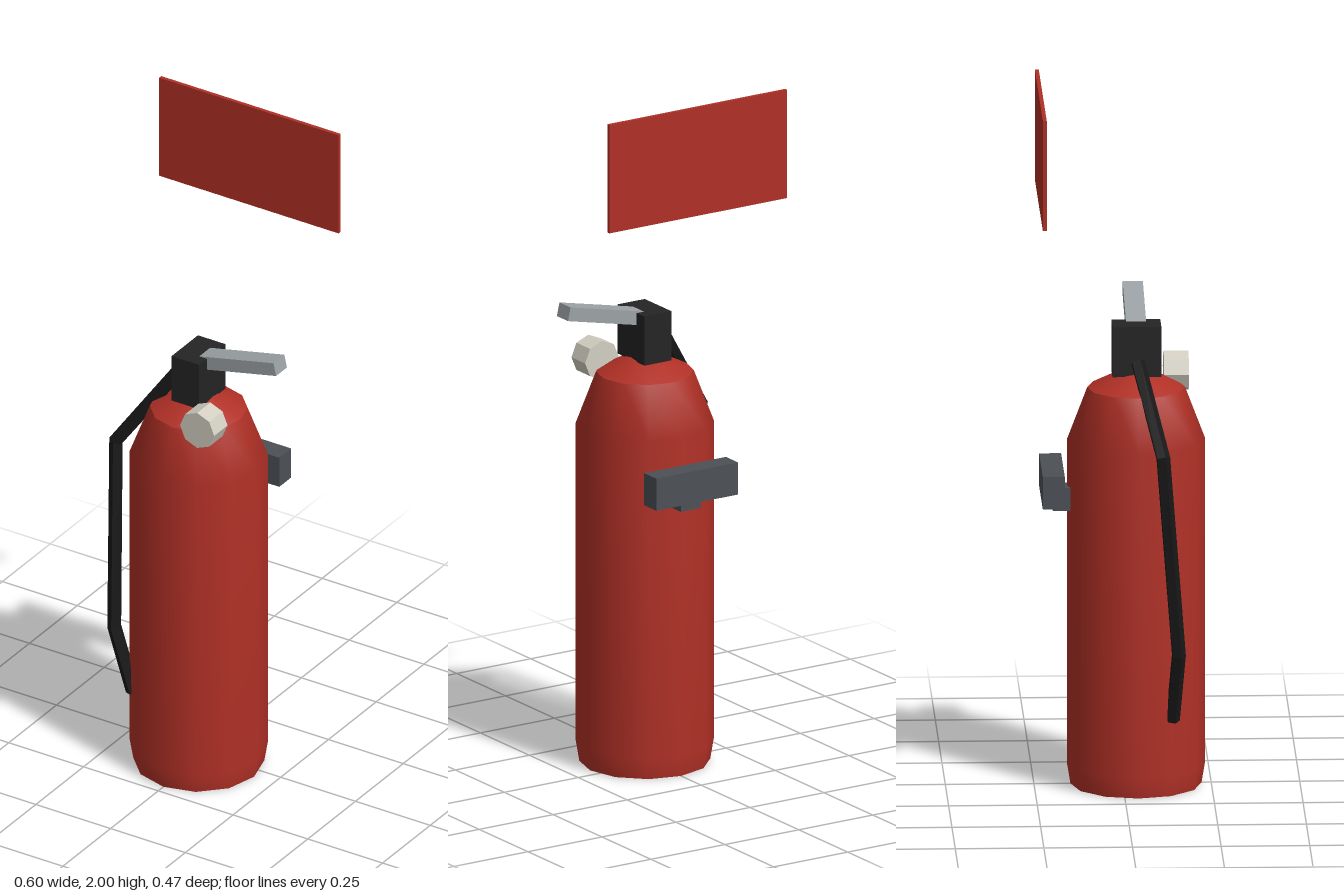
import * as THREE from 'three';

function material(name, color, extra = {}) {
  const m = new THREE.MeshStandardMaterial({ color, ...extra });
  m.name = name;
  return m;
}

export function createModel() {
  const red = material('red paint', 0xb03026);
  const black = material('black plastic', 0x242424);
  const rubber = material('hose rubber', 0x181818, { side: THREE.DoubleSide, flatShading: true });
  const steel = material('grey steel', 0x9ca2a5);
  const ivory = material('ivory', 0xd2cfc2, { flatShading: true });
  const slate = material('dark slate', 0x4c5156);

  const model = new THREE.Group();
  model.name = 'fireExtinguisher';

  const add = (parent, name, geometry, mat, x = 0, y = 0, z = 0) => {
    const mesh = new THREE.Mesh(geometry, mat);
    mesh.name = name;
    mesh.position.set(x, y, z);
    parent.add(mesh);
    return mesh;
  };
  // Box given by its lower and upper corners
  const addBox = (name, mat, a, b) => add(model, name,
    new THREE.BoxGeometry(b[0] - a[0], b[1] - a[1], b[2] - a[2]), mat,
    (a[0] + b[0]) / 2, (a[1] + b[1]) / 2, (a[2] + b[2]) / 2);

  // Tank: separate profiles keep the rims sharp
  const tank = new THREE.Group();
  tank.name = 'tank';
  tank.position.z = 0.038;
  model.add(tank);
  const profiles = {
    tankBase: [[0, 0], [0.185, 0]],
    tankWall: [[0.185, 0], [0.195, 0.06], [0.195, 1.0], [0.138, 1.15]],
    tankTop: [[0.138, 1.15], [0.04, 1.2], [0, 1.2]],
  };
  for (const [name, pts] of Object.entries(profiles)) {
    const points = pts.map(([r, y]) => new THREE.Vector2(r, y));
    add(tank, name, new THREE.LatheGeometry(points, 12), red);
  }

  // Valve block and lever
  addBox('valve', black, [-0.046, 1.19, -0.03], [0.046, 1.335, 0.108]);
  const lever = add(model, 'lever', new THREE.BoxGeometry(0.275, 0.04, 0.057), steel, 0.139, 1.341, 0.039);
  lever.rotation.z = 0.22;

  // Pressure gauge facing forward
  const gauge = add(model, 'gauge', new THREE.CylinderGeometry(0.057, 0.057, 0.07, 8), ivory, 0.091, 1.175, 0.154);
  gauge.rotation.x = Math.PI / 2;

  // Hose: straight runs with mitred bends at each control point
  const path = new THREE.CatmullRomCurve3([
    [-0.07, 1.24, 0.04], [-0.233, 1.0, 0.105], [-0.21, 0.42, 0.15], [-0.158, 0.22, 0.135],
  ].map((p) => new THREE.Vector3(...p)));
  path.getPointAt = (t, target) => path.getPoint(t, target);
  path.getTangentAt = (t, target) => path.getTangent(t, target);
  add(model, 'hose', new THREE.TubeGeometry(path, 3, 0.021, 5), rubber);

  // Wall bracket and sign
  addBox('bracket', slate, [-0.138, 0.83, -0.23], [0.138, 0.925, -0.168]);
  addBox('bracketHook', slate, [-0.034, 0.8, -0.198], [0.034, 0.866, -0.13]);
  addBox('wallSign', red, [-0.3, 1.68, -0.236], [0.3, 2.0, -0.225]);

  return model;
}
